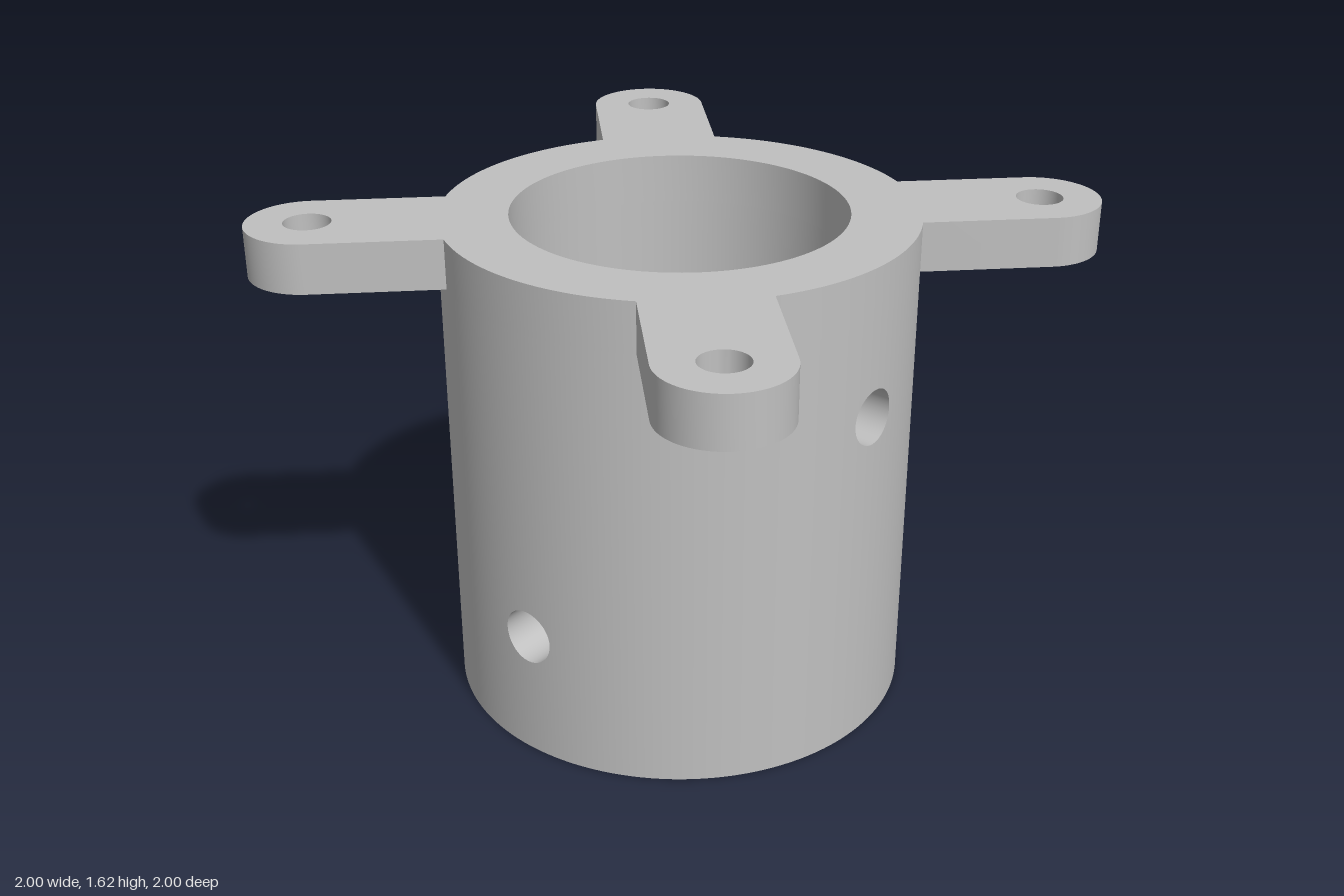
import * as THREE from 'three';
import { mergeGeometries, toCreasedNormals } from 'three/addons/utils/BufferGeometryUtils.js';
import { ParametricGeometry } from 'three/addons/geometries/ParametricGeometry.js';

const OUTER = 0.75, INNER = 0.53, TOP = 1.615, PLATE = 0.16, SEAT = TOP - PLATE;
const BORE = 0.09;                 // radius of the cross holes
const HALF_ANGLE = Math.PI / 12;   // half width of the wall panel round a cross hole
const HALF_HEIGHT = 0.2;           // half height of that panel
const ARM_END = 0.807, ARM_R = 0.193, BOLT_R = 0.074;

// Point on a cylinder of radius r; angle 0 faces +z
const onWall = (p, r, a, y) => p.set(r * Math.sin(a), y, r * Math.cos(a));

// Plain curved wall between two angles and two heights
function plainWall(r, a0, a1, y0, y1, inward) {
  const steps = Math.round((a1 - a0) / (HALF_ANGLE / 6));
  return new ParametricGeometry((u, v, p) => {
    const k = inward ? 1 - u : u;
    onWall(p, r, a0 + (a1 - a0) * k, y0 + (y1 - y0) * v);
  }, steps, 1);
}

// Point on the unit square's edge, u = 0..1 going counter-clockwise
function squareEdge(u) {
  const s = (((u % 1) + 1) % 1) * 4, side = Math.floor(s), k = (s - side) * 2 - 1;
  return [[1, k], [-k, 1], [-1, -k], [k, -1]][side];
}

// Angle and height of the hole's rim on radius r
function rim(r, u) {
  const [sx, sy] = squareEdge(u), t = Math.atan2(sy, sx);
  return [Math.asin(BORE * Math.cos(t) / r), BORE * Math.sin(t)];
}

// Curved panel with a round hole
function holedPanel(r, angle, y, inward) {
  return new ParametricGeometry((u, v, p) => {
    const k = inward ? u : 1 - u;
    const [sx, sy] = squareEdge(k), [ra, ry] = rim(r, k);
    onWall(p, r,
      angle + ra + (sx * HALF_ANGLE - ra) * v,
      y + ry + (sy * HALF_HEIGHT - ry) * v);
  }, 48, 8);
}

// Lining of a cross hole, from the outer to the inner wall
function boreLining(angle, y) {
  return new ParametricGeometry((u, v, p) => {
    const [ao, h] = rim(OUTER, u), [ai] = rim(INNER, u);
    const a = new THREE.Vector3(), b = new THREE.Vector3();
    onWall(a, OUTER, angle + ao, y + h);
    onWall(b, INNER, angle + ai, y + h);
    p.lerpVectors(a, b, v);
  }, 48, 1);
}

// Full round wall with four cross holes
function wall(r, inward) {
  const parts = [];
  for (let i = 0; i < 4; i++) {
    const a = i * Math.PI / 2, y = i % 2 ? 0.42 : 1.13;
    const a0 = a - HALF_ANGLE, a1 = a + HALF_ANGLE;
    parts.push(
      holedPanel(r, a, y, inward),
      plainWall(r, a0, a1, 0, y - HALF_HEIGHT, inward),
      plainWall(r, a0, a1, y + HALF_HEIGHT, SEAT, inward),
      plainWall(r, a1, a0 + Math.PI / 2, 0, SEAT, inward));
  }
  return mergeGeometries(parts);
}

// Top flange: a ring with four rounded diagonal arms
function flange() {
  const shape = new THREE.Shape();
  const spread = Math.asin(ARM_R / OUTER);
  for (let i = 0; i < 4; i++) {
    const a = Math.PI / 4 + i * Math.PI / 2;
    const cx = ARM_END * Math.SQRT2 * Math.cos(a), cy = ARM_END * Math.SQRT2 * Math.sin(a);
    shape.absarc(0, 0, OUTER, a - Math.PI / 2 + spread, a - spread, false);
    shape.absarc(cx, cy, ARM_R, a - Math.PI / 2, a + Math.PI / 2, false);
    const bolt = new THREE.Path();
    bolt.absarc(cx, cy, BOLT_R, 0, Math.PI * 2, true);
    shape.holes.push(bolt);
  }
  shape.closePath();

  const opening = new THREE.Path();
  for (let i = 0; i < 3; i++) {
    opening.absarc(0, 0, INNER, -i * Math.PI * 2 / 3, -(i + 1) * Math.PI * 2 / 3, true);
  }
  shape.holes.push(opening);

  const geo = new THREE.ExtrudeGeometry(shape, { depth: PLATE, bevelEnabled: false, curveSegments: 24 });
  geo.rotateX(-Math.PI / 2).translate(0, SEAT, 0);
  return toCreasedNormals(geo, 0.5);
}

export function createModel() {
  const group = new THREE.Group();
  group.name = 'flangedSleeve';
  const grey = new THREE.MeshStandardMaterial({ color: 0xc0c0c0 });
  grey.name = 'plainGrey';

  const add = (name, geometry) => {
    const mesh = new THREE.Mesh(geometry, grey);
    mesh.name = name;
    group.add(mesh);
  };

  add('outerWall', wall(OUTER, false));
  add('innerWall', wall(INNER, true));
  add('bottomRim', new THREE.RingGeometry(INNER, OUTER, 144).rotateX(Math.PI / 2));
  add('mountingFlange', flange());

  // Front and back holes sit high, side holes sit low
  ['front', 'left', 'back', 'right'].forEach((side, i) =>
    add(side + 'CrossHole', boreLining(i * Math.PI / 2, i % 2 ? 0.42 : 1.13)));

  return group;
}
